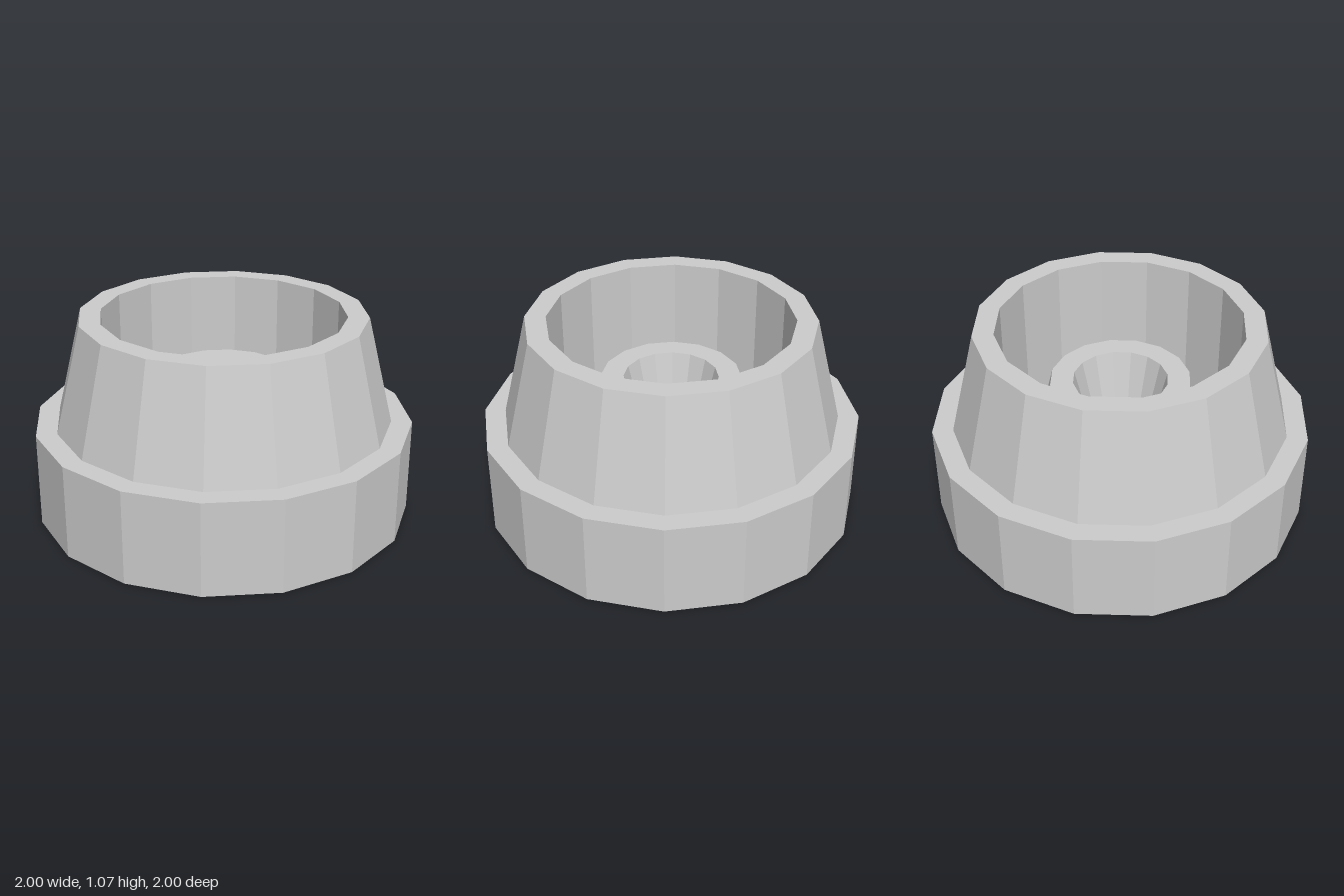
import * as THREE from 'three';

const SIDES = 16;
const material = new THREE.MeshStandardMaterial({ color: 0xcccccc, flatShading: true });

// Turned part from a [radius, height] profile; solid lies to the left of the path
function turned(name, profile) {
  const points = profile.map(([r, y]) => new THREE.Vector2(r, y));
  const mesh = new THREE.Mesh(new THREE.LatheGeometry(points, SIDES), material);
  mesh.name = name;
  return mesh;
}

export function createModel() {
  const group = new THREE.Group();
  group.name = 'turnedSocket';

  const floorY = 0.21;

  group.add(
    // Wide drum with closed underside and a narrow ledge on top
    turned('base', [[0, 0], [1, 0], [1, 0.5], [0.89, 0.5]]),
    // Tapered outside, flat rim, straight inner wall
    turned('collar', [[0.89, 0.5], [0.75, 1.07], [0.64, 1.07], [0.64, floorY]]),
    // Flat ring floor between the collar and the centre post
    turned('recessFloor', [[0.64, floorY], [0.5, floorY]]),
    // Tapered centre post with a shallow tapered hole
    turned('centrePost', [[0.5, floorY], [0.37, 0.73], [0.25, 0.73], [0.18, 0.45], [0, 0.45]])
  );
  return group;
}
